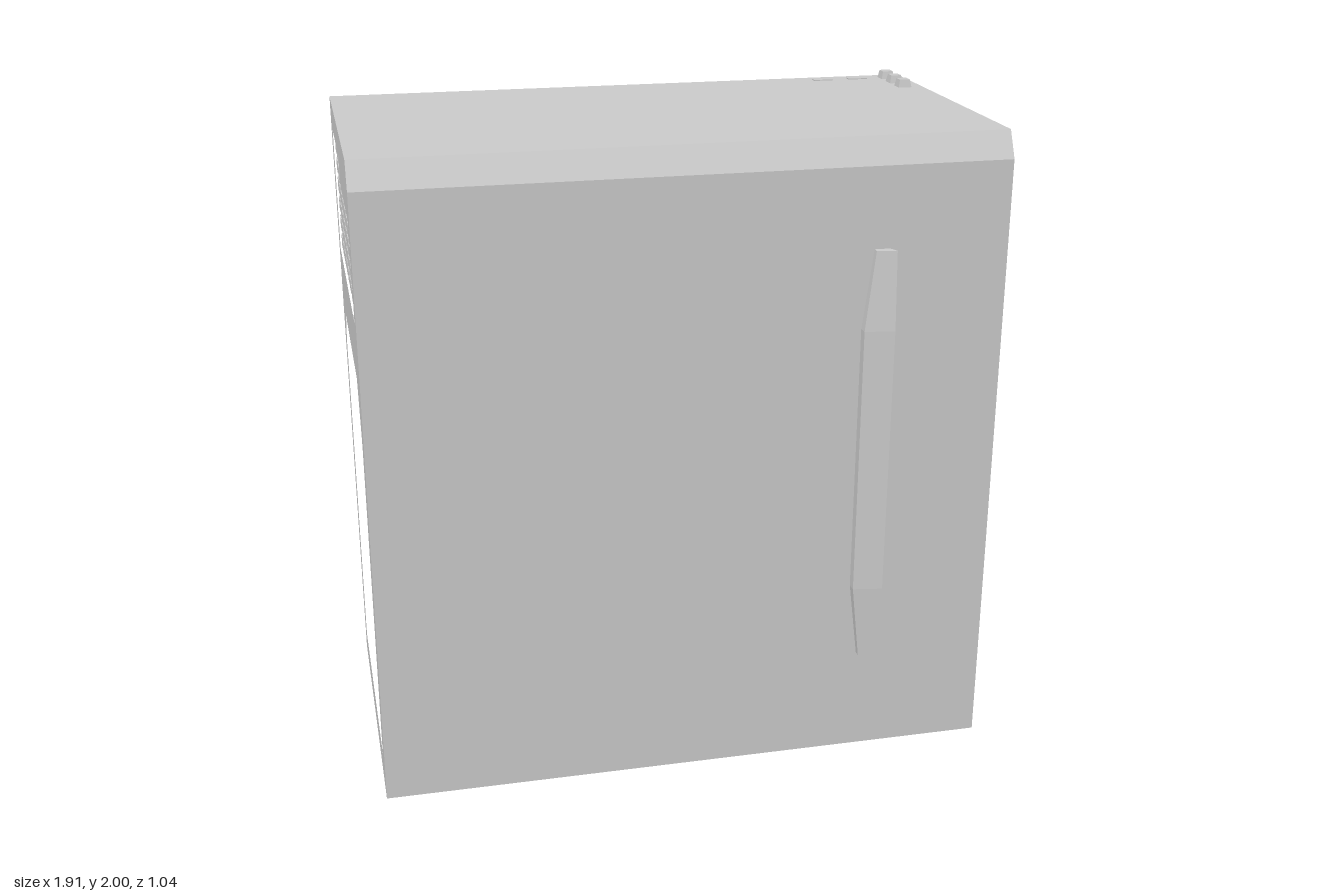
import * as THREE from 'three';

const material = new THREE.MeshStandardMaterial({ color: 0xcccccc, flatShading: true });
const W = 0.955;

// Case outline and openings as [z, y] points
const outline = [[-0.52, 0], [0.48, 0], [0.48, 1.895], [0.44, 1.975], [-0.52, 1.975]];
const rect = (z0, z1, y0, y1) => [[z0, y0], [z1, y0], [z1, y1], [z0, y1]];

export function createModel() {
  const model = new THREE.Group();

  function add(name, geometry, parent = model) {
    const mesh = new THREE.Mesh(geometry, material);
    mesh.name = name;
    parent.add(mesh);
    return mesh;
  }

  function box(name, x0, x1, y0, y1, z0, z1, parent = model) {
    const mesh = add(name, new THREE.BoxGeometry(x1 - x0, y1 - y0, z1 - z0), parent);
    mesh.position.set((x0 + x1) / 2, (y0 + y1) / 2, (z0 + z1) / 2);
    return mesh;
  }

  // Slice of the case between two x positions, pierced by holes
  function slice(name, x0, x1, holes = []) {
    const toPoints = (list) => list.map(([z, y]) => new THREE.Vector2(-z, y));
    const shape = new THREE.Shape(toPoints(outline));
    holes.forEach((hole) => shape.holes.push(new THREE.Path(toPoints(hole))));
    const geometry = new THREE.ExtrudeGeometry(shape, { depth: x1 - x0, bevelEnabled: false });
    geometry.rotateY(Math.PI / 2).translate(x0, 0, 0);
    add(name, geometry);
  }

  // Left side: deep bay, three vent slots and a recessed panel
  const bay = [[-0.155, 1.77], [0.445, 1.77], [0.445, 1.87], [0.425, 1.91], [-0.155, 1.91]];
  const vents = [
    [[-0.45, 1.62], [0.41, 1.62], [0.42, 1.652], [-0.46, 1.652]],
    rect(-0.46, 0.42, 1.53, 1.577),
    [[-0.46, 1.46], [0.42, 1.46], [0.41, 1.487], [-0.45, 1.487]],
  ];
  slice('leftSidePlate', W - 0.04, W, [bay, ...vents, rect(-0.47, 0.43, 0.105, 1.31)]);
  slice('leftInnerPlate', W - 0.18, W - 0.04, [bay]);

  // Right side: keypad recess, and a lower panel with sockets and windows
  const keypadRecess = [[-0.42, 1.5], [0.395, 1.5], [0.395, 1.84], [0.35, 1.885], [-0.42, 1.885]];
  const portPanel = [[-0.42, 0.1], [0.38, 0.1], [0.38, 1.12], [0.285, 1.3], [-0.337, 1.3], [-0.42, 1.19]];
  const sockets = [rect(-0.16, 0.06, 0.84, 1.0), rect(-0.16, 0.06, 0.34, 0.41)];
  for (let i = 0; i < 5; i++) {
    const y = 0.35 + i * 0.14;
    sockets.push(rect(-0.35, -0.24, y, y + 0.085));
  }
  slice('rightSidePlate', -W, -W + 0.04, [keypadRecess, portPanel]);
  slice('rightInnerPlate', -W + 0.04, -W + 0.06, sockets);
  slice('caseCore', -W + 0.06, W - 0.18);

  // Keypad with its display
  const keypad = new THREE.Group();
  keypad.name = 'keypad';
  model.add(keypad);
  box('display', -W + 0.005, -W + 0.04, 1.76, 1.87, -0.19, 0.35, keypad);
  for (let col = 0; col < 8; col++) {
    for (let row = 0; row < 6; row++) {
      const z = -0.405 + col * 0.098;
      const y = 1.515 + row * 0.062;
      if (col > 1 && row > 3) continue;
      box('key', -W + 0.005, -W + 0.04, y, y + 0.04, z, z + 0.06, keypad);
    }
  }

  // Handle: four-cornered sections with an undercut grip edge
  const sections = [
    [0.33, 0.54, 0.5, 0.51, 0.015],
    [0.57, 0.51, 0.51, 0.525, 0.05],
    [1.41, 0.51, 0.51, 0.525, 0.05],
    [1.65, 0.54, 0.5, 0.51, 0.015],
  ];
  const rings = sections.map(([y, left, zLeft, zRight, undercut]) => [
    [left, y, 0.475], [left, y, zLeft], [0.6, y, zRight], [0.6 - undercut, y, 0.475],
  ]);
  const corners = [];
  const quad = (a, b, c, d) => corners.push(...a, ...b, ...c, ...a, ...c, ...d);
  for (let i = 0; i < 3; i++) {
    for (let j = 0; j < 4; j++) {
      const k = (j + 1) % 4;
      quad(rings[i][j], rings[i][k], rings[i + 1][k], rings[i + 1][j]);
    }
  }
  quad(...rings[3]);
  quad(...[...rings[0]].reverse());
  const handle = new THREE.BufferGeometry();
  handle.setAttribute('position', new THREE.Float32BufferAttribute(corners, 3));
  handle.computeVertexNormals();
  add('doorHandle', handle);

  // Tapered buttons and flat indicators on top
  for (const z of [-0.46, -0.378, -0.295]) {
    const geometry = new THREE.CylinderGeometry(0.017 * Math.SQRT2, 0.022 * Math.SQRT2, 0.025, 4);
    geometry.rotateY(Math.PI / 4);
    add('topButton', geometry).position.set(0.893, 1.9875, z);
  }
  for (const x of [0.64, 0.76]) box('indicator', x, x + 0.065, 1.965, 1.978, -0.48, -0.455);

  return model;
}
